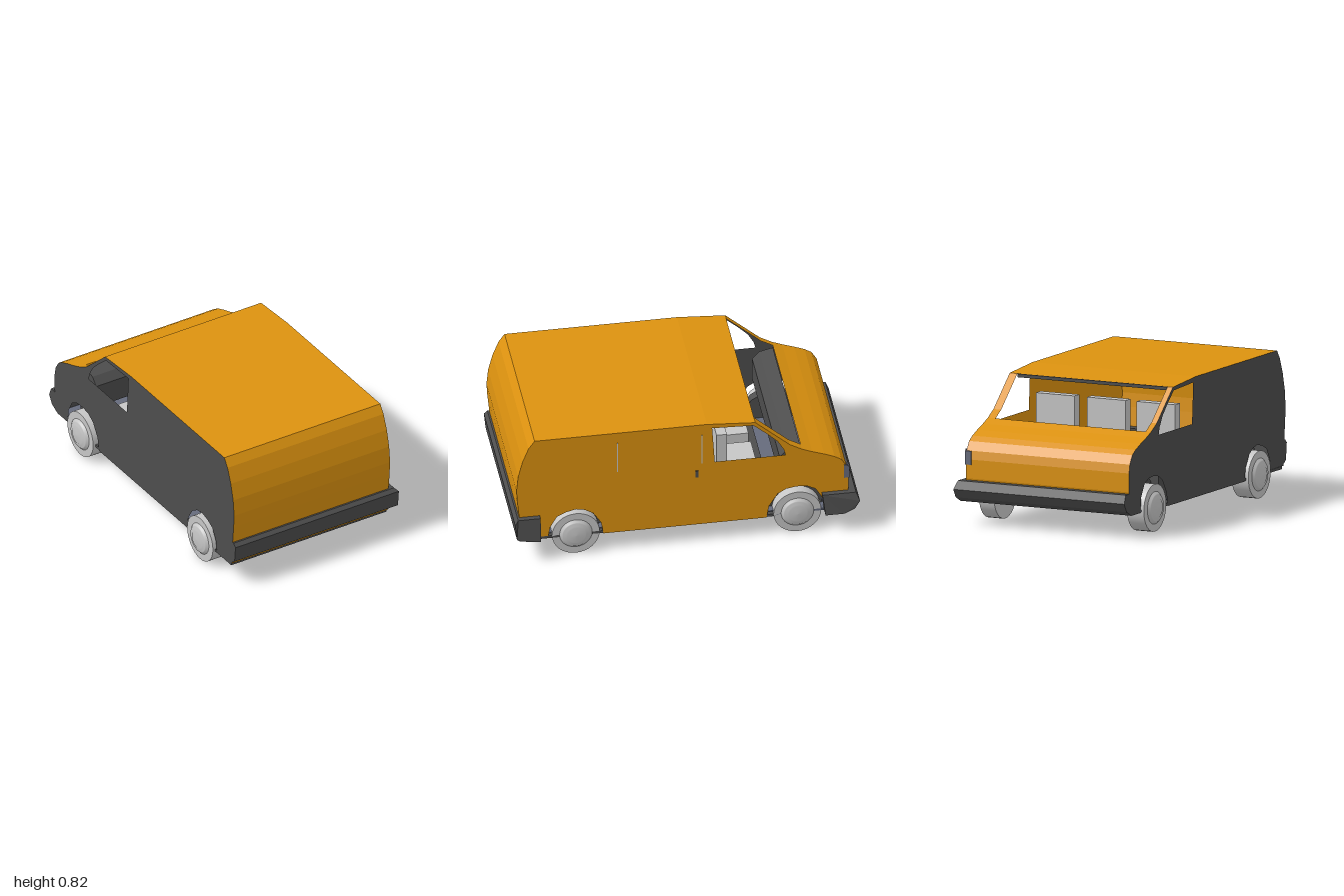
import * as THREE from 'three';

const mat = (name, color, side = THREE.DoubleSide) => {
  const m = new THREE.MeshStandardMaterial({ color, side });
  m.name = name;
  return m;
};

const LEFT = 0.52, RIGHT = -0.535;

// Outlines are [z, y] pairs: from the rear foot over the roof to the nose.
const SKIN = [
  [0.96, 0.14], [0.97, 0.3], [0.98, 0.4], [0.985, 0.48], [0.975, 0.58], [0.95, 0.68], [0.915, 0.77], [0.88, 0.82],
  [-0.12, 0.82], [-0.4, 0.8], [-0.6, 0.62], [-0.67, 0.58], [-0.73, 0.555], [-0.8, 0.53], [-0.86, 0.505],
  [-0.9, 0.48], [-0.93, 0.43], [-0.94, 0.38], [-0.94, 0.27], [-0.9, 0.13]];
const FRONT_ARCH = [[-0.8, 0.13], [-0.79, 0.22], [-0.75, 0.29], [-0.7, 0.315], [-0.64, 0.32], [-0.58, 0.31],
  [-0.53, 0.28], [-0.48, 0.2], [-0.465, 0.12]];
const REAR_ARCH = [[0.48, 0.12], [0.495, 0.2], [0.54, 0.27], [0.59, 0.3], [0.64, 0.31], [0.7, 0.295],
  [0.75, 0.27], [0.79, 0.2], [0.8, 0.14]];
const WINDOW = [[-0.15, 0.79], [-0.39, 0.78], [-0.47, 0.71], [-0.53, 0.65], [-0.565, 0.59], [-0.575, 0.55], [-0.165, 0.55]];
const REAR_BUMPER = [[0.85, 0.29], [0.98, 0.29], [1, 0.27], [0.99, 0.17], [0.97, 0.155], [0.85, 0.14]];
const FRONT_BUMPER = [[-0.785, 0.26], [-0.98, 0.26], [-1, 0.21], [-0.97, 0.16], [-0.91, 0.13], [-0.8, 0.13]];

const shapeOf = (pts) => new THREE.Shape(pts.map(([z, y]) => new THREE.Vector2(z, y)));

// Solid with a side outline, from x0 to x1.
function slab(pts, x0, x1) {
  return new THREE.ExtrudeGeometry(shapeOf(pts), { depth: x1 - x0, bevelEnabled: false })
    .rotateY(-Math.PI / 2).translate(x1, 0, 0);
}

// Sheet that follows the outline across the body; windscreen bays keep only their pillars.
function skinGeometry() {
  const v = [];
  const quad = (x0, x1, p, q) => {
    const a = [x0, p[1], p[0]], b = [x1, p[1], p[0]], c = [x1, q[1], q[0]], d = [x0, q[1], q[0]];
    v.push(...a, ...b, ...c, ...a, ...c, ...d);
  };
  for (let i = 0; i < SKIN.length - 1; i++) {
    const p = SKIN[i], q = SKIN[i + 1];
    if (p[0] <= -0.4 && q[0] >= -0.67) {
      quad(RIGHT, -0.5, p, q);
      quad(0.47, LEFT, p, q);
    } else quad(RIGHT, LEFT, p, q);
  }
  const g = new THREE.BufferGeometry();
  g.setAttribute('position', new THREE.Float32BufferAttribute(v, 3));
  g.computeVertexNormals();
  return g;
}

export function createModel() {
  const model = new THREE.Group();
  model.name = 'van';
  const orange = mat('orange paint', 0xdc920f);
  const charcoal = mat('charcoal', 0x4d4d4d);
  const slate = mat('slate lining', 0x666b7c);
  const grey = mat('light grey', 0xc6c6c6);

  const add = (name, geo, material, parent = model) => {
    const m = new THREE.Mesh(geo, material);
    m.name = name;
    parent.add(m);
    return m;
  };
  // Box given by its limits on each axis.
  const box = (name, material, [x0, x1], [y0, y1], [z0, z1], parent) =>
    add(name, new THREE.BoxGeometry(x1 - x0, y1 - y0, z1 - z0)
      .translate((x0 + x1) / 2, (y0 + y1) / 2, (z0 + z1) / 2), material, parent);

  // Body shell
  add('bodySkin', skinGeometry(), orange);
  const side = shapeOf([...SKIN, ...FRONT_ARCH, ...REAR_ARCH]);
  side.holes.push(new THREE.Path(WINDOW.map(([z, y]) => new THREE.Vector2(z, y))));
  for (const [name, x, m] of [['leftSide', LEFT, orange], ['rightSide', RIGHT, charcoal]]) {
    add(name, new THREE.ShapeGeometry(side).rotateY(-Math.PI / 2).translate(x, 0, 0), m);
  }

  // Underside and lining
  box('underbody', charcoal, [RIGHT + 0.003, LEFT - 0.003], [0.122, 0.138], [-0.52, 0.95]);
  box('noseFloor', slate, [RIGHT + 0.003, LEFT - 0.003], [0.132, 0.145], [-0.9, -0.52]);
  box('cabinFloor', slate, [-0.5, 0.5], [0.145, 0.15], [-0.6, 0.9]);
  box('roofLining', slate, [RIGHT + 0.005, LEFT - 0.005], [0.792, 0.797], [-0.37, 0.85]);
  box('roofEdge', charcoal, [-0.5, 0.47], [0.778, 0.797], [-0.397, -0.385]);

  // Bumpers: a beam across, wrapping round the left corner
  for (const [name, pts, s] of [['rearBumper', REAR_BUMPER, 1], ['frontBumper', FRONT_BUMPER, -1]]) {
    const beam = pts.map(([z, y]) => [s * Math.max(Math.abs(z), 0.9), y]);
    add(name, slab(beam, RIGHT, 0.5), charcoal);
    const wrap = slab(pts, 0.5, 0.57);
    const pos = wrap.attributes.position;
    // Chamfer the upper outer edge
    for (let i = 0; i < pos.count; i++) {
      if (pos.getX(i) > 0.56 && pos.getY(i) > 0.255 && !(s > 0 && pos.getY(i) < 0.28)) {
        pos.setX(i, 0.55);
      }
    }
    wrap.computeVertexNormals();
    add(name + 'Corner', wrap, charcoal);
  }

  // Wheels with domed hubs, and dark wells behind them
  const hubProfile = [[0.095, 0], [0.082, 0.012], [0.078, 0.016], [0.06, 0.018], [0.052, 0.023], [0, 0.026]]
    .map(([r, h]) => new THREE.Vector2(r, h));
  for (const [end, z, arch] of [['front', -0.645, FRONT_ARCH], ['rear', 0.64, REAR_ARCH]]) {
    for (const [name, s, inner, outer] of [['Left', 1, 0.42, 0.517], ['Right', -1, 0.44, 0.548]]) {
      const wheel = new THREE.Group();
      wheel.name = end + name + 'Wheel';
      wheel.position.set(s * outer, 0.138, z);
      wheel.rotation.z = -s * Math.PI / 2;
      const w = outer - inner;
      add('tyre', new THREE.CylinderGeometry(0.138, 0.138, w, 32).translate(0, -w / 2, 0), grey, wheel);
      add('hub', new THREE.LatheGeometry(hubProfile, 28), grey, wheel);
      model.add(wheel);
      const x = s * 0.455;
      add(end + name + 'WheelWell', slab(arch, Math.min(x, s * 0.4), Math.max(x, s * 0.4)), charcoal);
    }
  }

  // Dashboard
  add('dashboard', slab([[-0.67, 0.565], [-0.59, 0.545], [-0.55, 0.5], [-0.55, 0.36], [-0.67, 0.36]], -0.5, 0.47), charcoal);

  // Three seats in a row on a dark plinth
  box('seatPlinth', charcoal, [-0.49, 0.46], [0.15, 0.3], [-0.49, -0.18]);
  for (const [i, x] of [-0.345, -0.025, 0.305].entries()) {
    const seat = new THREE.Group();
    seat.name = 'seat' + (i + 1);
    box('cushion', grey, [x - 0.125, x + 0.125], [0.3, 0.42], [-0.43, -0.19], seat);
    box('backrest', grey, [x - 0.125, x + 0.125], [0.42, 0.67], [-0.25, -0.19], seat);
    model.add(seat);
  }

  // Left side details
  box('doorHandle', charcoal, [LEFT, LEFT + 0.006], [0.455, 0.5], [-0.07, -0.052]);
  for (const z of [-0.09, 0.4]) {
    box('windowTrim', grey, [LEFT, LEFT + 0.006], [0.55, 0.75], [z - 0.002, z + 0.002]);
  }
  box('headlampSide', slate, [LEFT, LEFT + 0.004], [0.35, 0.44], [-0.938, -0.915]);
  box('headlampFront', slate, [0.485, LEFT + 0.004], [0.35, 0.43], [-0.945, -0.936]);

  return model;
}
